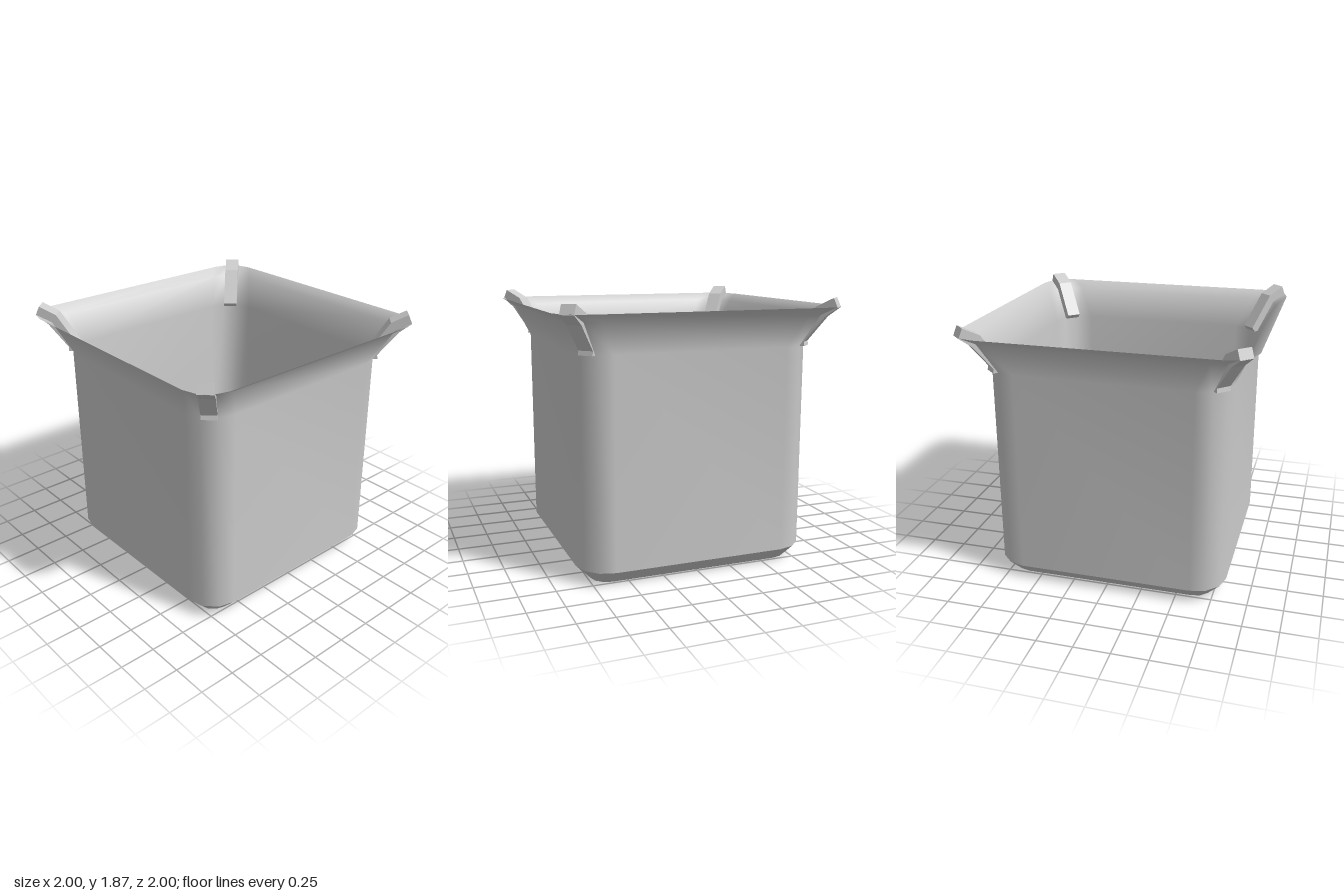
import * as THREE from 'three';

const material = new THREE.MeshStandardMaterial({ color: 0xcccccc, side: THREE.DoubleSide });
const clipMaterial = new THREE.MeshStandardMaterial({ color: 0xcccccc, flatShading: true });

// Rounded-square outline: half width h, corner radius r, three segments per corner
function outline(h, r) {
  const points = [];
  for (let corner = 0; corner < 4; corner++) {
    const mid = Math.PI / 4 + corner * Math.PI / 2;
    const cx = Math.sign(Math.cos(mid)) * (h - r);
    const cz = Math.sign(Math.sin(mid)) * (h - r);
    for (let s = 0; s <= 3; s++) {
      const a = (corner + s / 3) * Math.PI / 2;
      points.push([cx + r * Math.cos(a), cz + r * Math.sin(a)]);
    }
  }
  return points;
}

// Skin a stack of outlines given as [half width, corner radius, y]
function skin(rings) {
  const positions = [], index = [], n = 16;
  rings.forEach(([h, r, y], k) => {
    for (const [x, z] of outline(h, r)) positions.push(x, y, z);
    if (k === 0) return;
    for (let i = 0; i < n; i++) {
      const a = (k - 1) * n + i, b = (k - 1) * n + (i + 1) % n;
      index.push(a, a + n, b + n, a, b + n, b);
    }
  });
  const geometry = new THREE.BufferGeometry();
  geometry.setAttribute('position', new THREE.Float32BufferAttribute(positions, 3));
  geometry.setIndex(index);
  geometry.computeVertexNormals();
  return geometry;
}

export function createModel() {
  const group = new THREE.Group();
  const add = (name, geometry, mat = material) => {
    const mesh = new THREE.Mesh(geometry, mat);
    mesh.name = name;
    group.add(mesh);
    return mesh;
  };

  // Flat floor
  const floorShape = new THREE.Shape(outline(0.73, 0.12).map(([x, z]) => new THREE.Vector2(x, z)));
  add('floor', new THREE.ShapeGeometry(floorShape).rotateX(Math.PI / 2));

  // Bevel from floor to walls
  add('bottomBevel', skin([[0.73, 0.12, 0], [0.83, 0.22, 0.1]]));

  // Walls with the flared rim
  add('wallsAndRim', skin([[0.83, 0.22, 0.1], [0.83, 0.22, 1.54], [0.925, 0.21, 1.755], [1, 0.2, 1.81]]));

  // Bent clips gripping the flare at each corner: profile is distance from the axis, height
  const profile = [
    [1.025, 1.57], [1.05, 1.54], [1.11, 1.54], [1.105, 1.57],
    [1.24, 1.74], [1.325, 1.805], [1.297, 1.87], [1.18, 1.81],
  ];
  const clipShape = new THREE.Shape(profile.map(([d, y]) => new THREE.Vector2(d, y)));
  const clip = new THREE.ExtrudeGeometry(clipShape, { depth: 0.104, bevelEnabled: false });
  clip.translate(0, 0, -0.052);
  const names = ['backLeftClip', 'backRightClip', 'frontRightClip', 'frontLeftClip'];
  names.forEach((name, i) => {
    add(name, clip, clipMaterial).rotation.y = Math.PI / 4 + i * Math.PI / 2;
  });

  return group;
}
